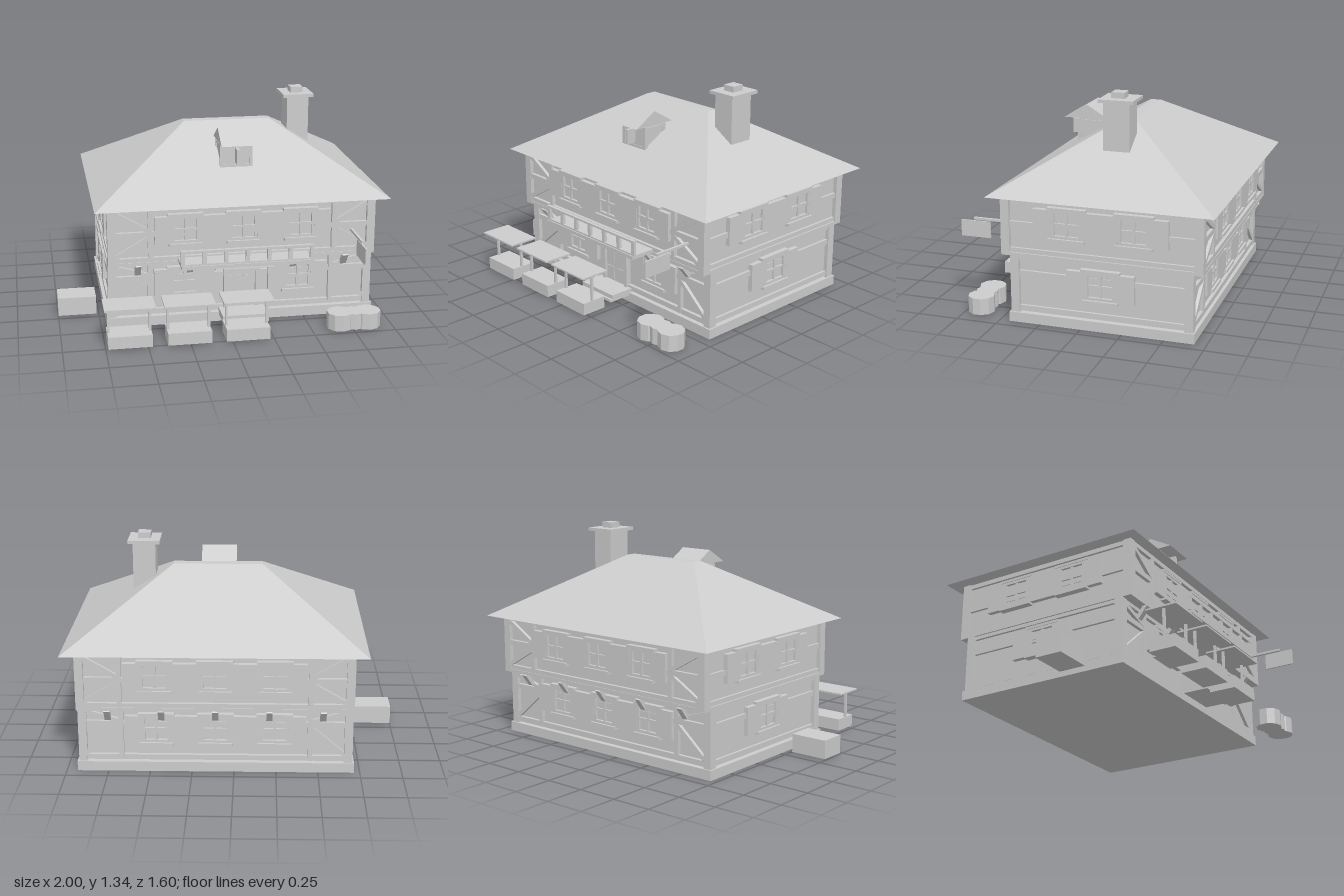
import * as THREE from 'three';

const stone = new THREE.MeshStandardMaterial({ color: 0xcccccc });
stone.name = 'plain grey';

function add(parent, name, geo) {
  const m = new THREE.Mesh(geo, stone);
  m.name = name;
  parent.add(m);
  return m;
}

// box given by its limits on each axis
function box(parent, name, x0, x1, y0, y1, z0, z1) {
  const m = add(parent, name, new THREE.BoxGeometry(x1 - x0, y1 - y0, z1 - z0));
  m.position.set((x0 + x1) / 2, (y0 + y1) / 2, (z0 + z1) / 2);
  return m;
}

// diagonal timber lying in a wall plane
function brace(parent, xa, ya, xb, yb) {
  const m = add(parent, 'brace', new THREE.BoxGeometry(Math.hypot(xb - xa, yb - ya), 0.025, 0.02));
  m.position.set((xa + xb) / 2, (ya + yb) / 2, -0.012);
  m.rotation.z = Math.atan2(yb - ya, xb - xa);
}

// window with shutters; the wall's outer face is at local z = 0
function windowUnit(parent, x, y, s) {
  const g = new THREE.Group();
  g.name = 'window';
  g.position.set(x, y, 0);
  g.scale.x = s;
  parent.add(g);
  const w = 0.083, h = 0.083;
  box(g, 'pane', -w, w, -h, h, -0.025, -0.008);
  for (const d of [-1, 1]) {
    const a = d * (w - 0.008);
    box(g, 'frameSide', a - 0.008, a + 0.008, -h, h, -0.02, 0.008);
    const b = d * (h - 0.008);
    box(g, 'frameRail', -w, w, b - 0.008, b + 0.008, -0.02, 0.008);
    const c = d * 0.134;
    box(g, 'shutter', c - 0.051, c + 0.051, -h - 0.005, h, -0.02, 0.009);
  }
  box(g, 'mullion', -0.007, 0.007, -h, h, -0.02, 0.004);
  box(g, 'transom', -w, w, -0.007, 0.007, -0.02, 0.004);
  box(g, 'sill', -0.1, 0.1, -h - 0.018, -h, -0.02, 0.022);
  box(g, 'lintel', -0.107, 0.107, h, h + 0.016, -0.02, 0.012);
}

// one timbered wall of a storey
function wall(parent, o) {
  const g = new THREE.Group();
  g.name = o.name;
  g.rotation.y = o.turn;
  g.position.set(Math.sin(o.turn) * o.face, 0, Math.cos(o.turn) * o.face);
  parent.add(g);
  const { half, y0, y1, mid } = o;
  for (const y of [y0, mid, y1 - 0.032]) box(g, 'beam', -half, half, y, y + 0.032, -0.03, -0.004);
  for (const x of o.windows) windowUnit(g, x, o.windowY, o.scale);
  if (!o.bays) return;
  for (const d of [-1, 1]) {
    const inner = d * 0.56, outer = d * 0.765;
    box(g, 'stud', inner - 0.014, inner + 0.014, y0, y1, -0.03, -0.002);
    brace(g, outer, y1 - 0.04, inner, mid + 0.03);
    brace(g, outer, y0 + 0.04, inner, mid);
  }
}

// both storeys, centred on the house axis
function buildHouse() {
  const house = new THREE.Group();
  house.name = 'house';
  house.position.set(0.11, 0, -0.12);
  box(house, 'plinth', -0.825, 0.825, 0, 0.06, -0.56, 0.56);
  const storeys = [
    { name: 'lower', y0: 0.07, y1: 0.415, mid: 0.285, d: 0.55, wy: 0.27, side: [0] },
    { name: 'upper', y0: 0.42, y1: 0.77, mid: 0.58, d: 0.605, wy: 0.62, side: [-0.2, 0.2] },
  ];
  for (const s of storeys) {
    const bottom = s.name === 'lower' ? 0.05 : 0.415;
    box(house, s.name + 'Walls', -0.79, 0.79, bottom, s.y1, -s.d + 0.025, s.d - 0.025);
    for (const x of [-1, 1]) for (const z of [-1, 1]) {
      const px = x * 0.79, pz = z * (s.d - 0.026);
      box(house, 'cornerPost', px - 0.025, px + 0.025, bottom, s.y1, pz - 0.026, pz + 0.026);
    }
    for (const turn of [0, Math.PI]) {
      const door = s.name === 'lower' && turn === 0;
      wall(house, { ...s, name: s.name + (turn ? 'BackWall' : 'FrontWall'), turn, face: s.d, half: 0.79,
        windowY: s.wy, scale: 1, windows: door ? [-0.35, 0.35] : [-0.35, 0, 0.35], bays: true });
    }
    for (const d of [-1, 1]) {
      wall(house, { ...s, name: s.name + 'SideWall', turn: d * Math.PI / 2, face: 0.81, half: s.d - 0.03,
        windowY: s.wy, scale: 1.1, windows: s.side, bays: false });
    }
  }
  box(house, 'jettySlab', -0.815, 0.815, 0.405, 0.425, -0.605, 0.605);
  // sloping brackets below the overhang
  for (const d of [-1, 1]) for (const x of [-0.635, -0.318, 0, 0.318, 0.635]) {
    const b = add(house, 'bracket', new THREE.BoxGeometry(0.036, 0.09, 0.025));
    b.position.set(x, 0.372, d * 0.575);
    b.rotation.x = d * 0.65;
  }
  return house;
}

// hipped roof with a narrow flat ridge
function buildRoof(parent) {
  const v = [
    [-0.78, 0.765, 0.55], [1, 0.765, 0.55], [1, 0.765, -0.8], [-0.78, 0.765, -0.8],
    [-0.165, 1.14, -0.09], [0.38, 1.14, -0.09], [0.38, 1.14, -0.155], [-0.165, 1.14, -0.155],
  ];
  const quads = [[0, 1, 5, 4], [1, 2, 6, 5], [2, 3, 7, 6], [3, 0, 4, 7], [4, 5, 6, 7], [3, 2, 1, 0]];
  const pos = quads.flatMap(([a, b, c, d]) => [a, b, c, a, c, d].flatMap((i) => v[i]));
  const geo = new THREE.BufferGeometry();
  geo.setAttribute('position', new THREE.Float32BufferAttribute(pos, 3));
  geo.computeVertexNormals();
  add(parent, 'roof', geo);
}

function buildDormer(parent) {
  const g = new THREE.Group();
  g.name = 'dormer';
  parent.add(g);
  box(g, 'dormerBody', 0.012, 0.198, 0.9, 1.075, 0.1, 0.265);
  for (const x of [0.015, 0.195]) for (const z of [0.11, 0.26]) {
    box(g, 'dormerPost', x - 0.01, x + 0.01, 0.93, 1.07, z - 0.01, z + 0.01);
  }
  box(g, 'dormerBeam', 0.005, 0.205, 1.05, 1.065, 0.1, 0.27);
  box(g, 'dormerSill', 0.005, 0.205, 0.93, 0.945, 0.1, 0.27);
  box(g, 'hoistBoard', 0.097, 0.118, 0.96, 1.05, 0.26, 0.33);
  // gabled cap whose ridge runs along x
  const tri = new THREE.Shape([[-0.145, 0], [0.145, 0], [0, 0.087]].map(([x, y]) => new THREE.Vector2(x, y)));
  const cap = add(g, 'dormerRoof', new THREE.ExtrudeGeometry(tri, { depth: 0.22, bevelEnabled: false }));
  cap.rotation.y = Math.PI / 2;
  cap.position.set(0, 1.078, 0.205);
}

function buildChimney(parent) {
  const g = new THREE.Group();
  g.name = 'chimney';
  parent.add(g);
  box(g, 'stack', 0.485, 0.622, 0.85, 1.28, -0.2, -0.04);
  box(g, 'chimneyCap', 0.457, 0.65, 1.28, 1.3, -0.228, -0.018);
  box(g, 'chimneyPot', 0.515, 0.592, 1.3, 1.335, -0.16, -0.08);
}

// doorway, canopy and steps
function buildEntrance(parent) {
  const g = new THREE.Group();
  g.name = 'entrance';
  parent.add(g);
  box(g, 'door', 0.025, 0.195, 0.07, 0.32, 0.4, 0.425);
  for (const x of [0.012, 0.208]) box(g, 'doorPost', x - 0.012, x + 0.012, 0.07, 0.335, 0.4, 0.44);
  box(g, 'doorLintel', 0, 0.22, 0.315, 0.335, 0.4, 0.442);
  for (const x of [0.065, 0.155]) for (const y of [0.14, 0.25]) {
    box(g, 'doorPanel', x - 0.03, x + 0.03, y - 0.04, y + 0.04, 0.42, 0.43);
  }
  const canopy = add(g, 'canopy', new THREE.BoxGeometry(0.36, 0.022, 0.13));
  canopy.position.set(0.11, 0.38, 0.497);
  canopy.rotation.x = -0.17;
  box(g, 'upperStep', -0.03, 0.25, 0.062, 0.087, 0.42, 0.58);
  box(g, 'lowerStep', -0.03, 0.25, 0.045, 0.062, 0.44, 0.595);
}

function buildBalcony(parent) {
  const g = new THREE.Group();
  g.name = 'balcony';
  parent.add(g);
  box(g, 'balconyFloor', -0.285, 0.505, 0.42, 0.442, 0.47, 0.645);
  box(g, 'topRail', -0.29, 0.51, 0.523, 0.535, 0.618, 0.64);
  box(g, 'bottomRail', -0.285, 0.505, 0.442, 0.452, 0.62, 0.638);
  for (let i = 0; i <= 6; i++) {
    const x = -0.278 + i * 0.1295;
    box(g, 'baluster', x - 0.012, x + 0.012, 0.442, 0.525, 0.62, 0.638);
  }
}

// market stall: counter, two poles and a flat top
function buildStall(parent, x) {
  const g = new THREE.Group();
  g.name = 'stall';
  g.position.x = x;
  parent.add(g);
  box(g, 'counter', -0.13, 0.13, 0.01, 0.085, 0.62, 0.78);
  for (const d of [-1, 1]) box(g, 'pole', d * 0.122 - 0.007, d * 0.122 + 0.007, 0.08, 0.252, 0.702, 0.716);
  box(g, 'stallTop', -0.15, 0.15, 0.25, 0.26, 0.61, 0.8);
}

export function createModel() {
  const model = new THREE.Group();
  model.name = 'timberedInn';
  model.add(buildHouse());
  buildRoof(model);
  buildDormer(model);
  buildChimney(model);
  buildEntrance(model);
  buildBalcony(model);
  for (const x of [-0.607, -0.257, 0.09]) buildStall(model, x);

  // hanging sign on its rod
  box(model, 'signRod', 0.774, 0.79, 0.553, 0.567, 0.47, 0.715);
  box(model, 'signBoard', 0.777, 0.787, 0.445, 0.545, 0.613, 0.8);

  // water trough beside the house
  box(model, 'trough', -1, -0.765, 0.008, 0.122, 0.055, 0.222);

  // three barrels standing together
  for (const [x, r] of [[0.675, 0.08], [0.76, 0.066], [0.845, 0.08]]) {
    const b = add(model, 'barrel', new THREE.CylinderGeometry(r, r, 0.1, 10).toNonIndexed());
    b.geometry.computeVertexNormals();
    b.position.set(x, 0.055, 0.657);
  }
  return model;
}
